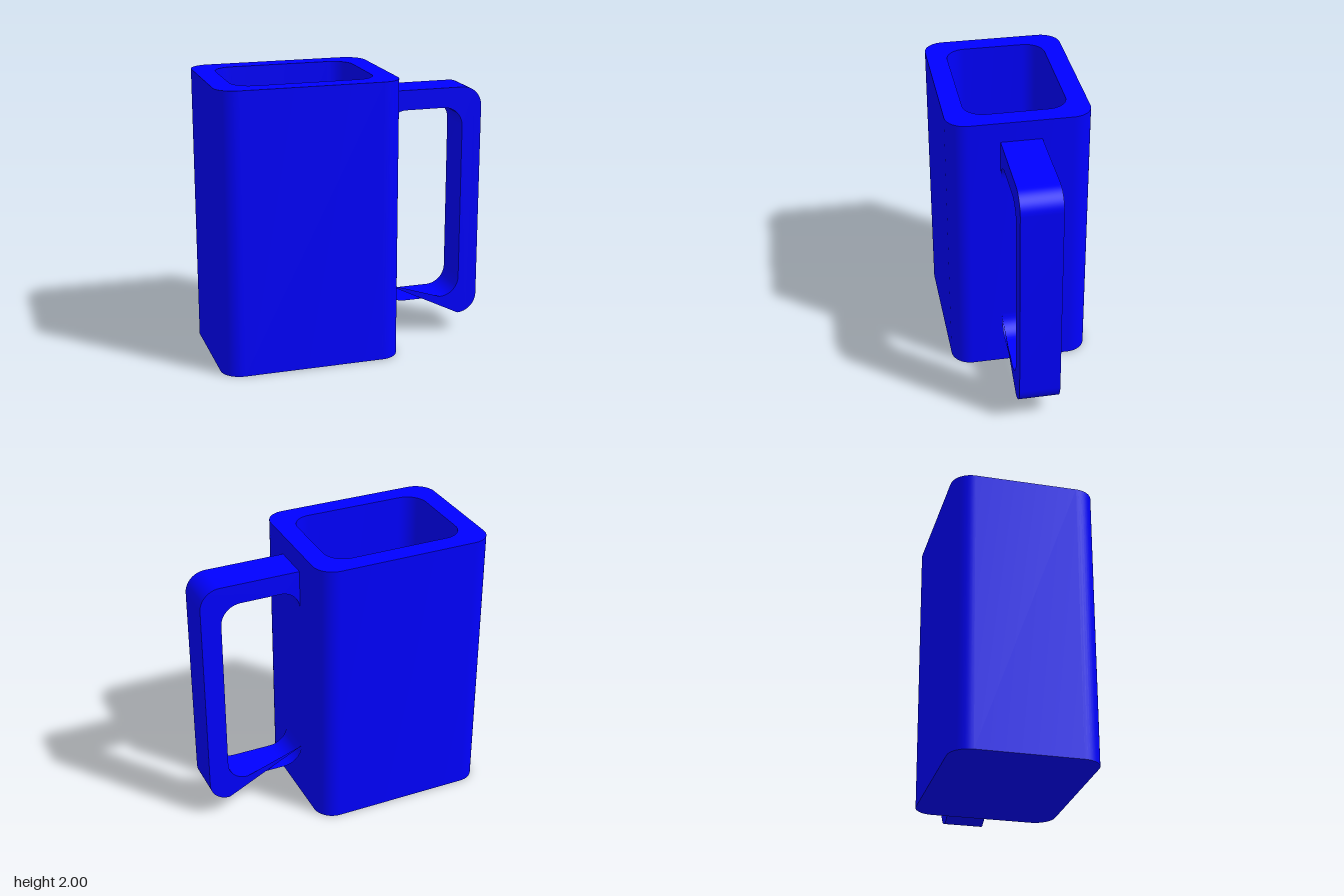
import * as THREE from 'three';
import { toCreasedNormals } from 'three/addons/utils/BufferGeometryUtils.js';

const U = 1 / 7; // wall thickness, corner radius and handle thickness
const CORNER = 12; // segments per rounded corner

// Counter-clockwise rounded rectangle as [x, z] points
function roundedRect(halfX, halfZ, r) {
  const points = [];
  const corners = [[1, 1], [-1, 1], [-1, -1], [1, -1]];
  corners.forEach(([sx, sz], q) => {
    for (let i = 0; i <= CORNER; i++) {
      const a = (q + i / CORNER) * Math.PI / 2;
      points.push([sx * (halfX - r) + r * Math.cos(a), -(sz * (halfZ - r) + r * Math.sin(a))]);
    }
  });
  return points;
}

// Skin a stack of loops; the first and last loops are closed to their centre
function loft(loops) {
  const pos = [];
  const n = loops[0].points.length;
  const at = (l, j) => [l.points[j % n][0], l.y, l.points[j % n][1]];
  for (let j = 0; j < n; j++) {
    const first = loops[0], last = loops[loops.length - 1];
    pos.push(0, first.y, 0, ...at(first, j + 1), ...at(first, j));
    for (let i = 0; i < loops.length - 1; i++) {
      const a = at(loops[i], j), b = at(loops[i], j + 1);
      const c = at(loops[i + 1], j + 1), d = at(loops[i + 1], j);
      pos.push(...a, ...b, ...c, ...a, ...c, ...d);
    }
    pos.push(0, last.y, 0, ...at(last, j), ...at(last, j + 1));
  }
  const geometry = new THREE.BufferGeometry();
  geometry.setAttribute('position', new THREE.Float32BufferAttribute(pos, 3));
  return toCreasedNormals(geometry, 0.5);
}

export function createModel() {
  const group = new THREE.Group();
  group.name = 'mug';
  const material = new THREE.MeshStandardMaterial({ color: 0x0000ff });

  // Hollow body: up the outside, over the rim, down to the inner floor
  const outer = roundedRect(4.5 * U, 3.5 * U, U);
  const inner = roundedRect(3.5 * U, 2.5 * U, U);
  const body = new THREE.Mesh(loft([
    { points: outer, y: 0 },
    { points: outer, y: 2 },
    { points: inner, y: 2 },
    { points: inner, y: U },
  ]), material);
  body.name = 'body';
  body.position.x = -2.5 * U;
  group.add(body);

  // C-shaped handle with rounded corners and fillets against the body
  const H = Math.PI / 2;
  const s = new THREE.Shape();
  const arc = (x, y, from, to, clockwise) => s.absarc(x * U, y * U, U, from, to, clockwise);
  s.moveTo(2 * U, U);
  arc(6, 2, -H, 0, false);
  arc(6, 12, 0, H, false);
  s.lineTo(2 * U, 13 * U);
  arc(3, 11, 2 * H, H, true);
  arc(5, 11, H, 0, true);
  arc(5, 3, 0, -H, true);
  arc(3, 3, -H, -2 * H, true);
  s.closePath();
  const handleGeometry = new THREE.ExtrudeGeometry(s, { depth: 2 * U, bevelEnabled: false, curveSegments: CORNER });
  handleGeometry.translate(0, 0, -U);
  const handle = new THREE.Mesh(toCreasedNormals(handleGeometry, 0.5), material);
  handle.name = 'handle';
  group.add(handle);

  return group;
}
